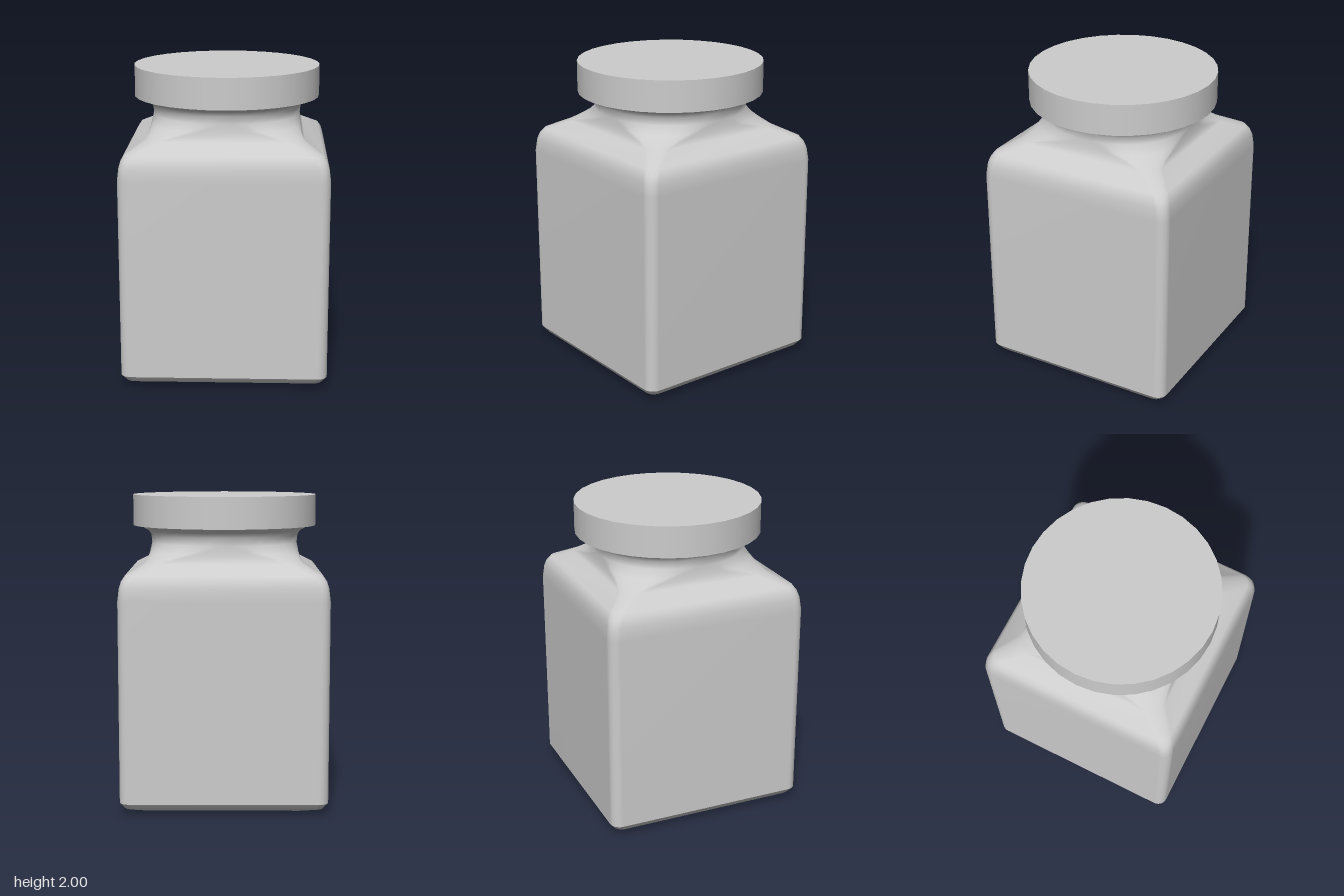
import * as THREE from 'three';

const grey = new THREE.MeshStandardMaterial({ color: 0xcccccc });
grey.name = 'light grey';

const CORNER_STEPS = 7;

// Rounded square of half width h and corner radius r at height y
function section([y, h, r]) {
  const points = [];
  for (let corner = 0; corner < 4; corner++) {
    const mid = (corner + 0.5) * Math.PI / 2;
    const cx = Math.sign(Math.cos(mid)) * (h - r);
    const cz = Math.sign(Math.sin(mid)) * (h - r);
    for (let i = 0; i <= CORNER_STEPS; i++) {
      const a = (corner + i / CORNER_STEPS) * Math.PI / 2;
      points.push(cx + r * Math.cos(a), y, cz + r * Math.sin(a));
    }
  }
  return points;
}

// Smooth skin through sections listed from bottom to top
function loft(name, sections) {
  const n = 4 * (CORNER_STEPS + 1);
  const index = [];
  for (let s = 0; s < sections.length - 1; s++) {
    for (let i = 0; i < n; i++) {
      const a = s * n + i, b = s * n + (i + 1) % n;
      index.push(a, a + n, b, b, a + n, b + n);
    }
  }
  const geometry = new THREE.BufferGeometry();
  geometry.setAttribute('position', new THREE.Float32BufferAttribute(sections.flatMap(section), 3));
  geometry.setIndex(index);
  geometry.computeVertexNormals();
  const mesh = new THREE.Mesh(geometry, grey);
  mesh.name = name;
  return mesh;
}

export function createModel() {
  const jar = new THREE.Group();
  jar.name = 'jar';

  // Chamfered underside: y, half width, corner radius
  jar.add(loft('base', [
    [0, 0.002, 0.001],
    [0.005, 0.53, 0.05],
    [0.04, 0.63, 0.06],
    [0.08, 0.66, 0.065],
  ]));

  // Square walls, sloping shoulder and round neck
  jar.add(loft('body', [
    [0.08, 0.66, 0.065],
    [1.36, 0.66, 0.065],
    [1.44, 0.65, 0.065],
    [1.48, 0.638, 0.07],
    [1.515, 0.615, 0.07],
    [1.58, 0.5, 0.1],
    [1.61, 0.485, 0.2],
    [1.64, 0.48, 0.32],
    [1.69, 0.475, 0.44],
    [1.74, 0.48, 0.445],
    [1.77, 0.5, 0.465],
    [1.785, 0.53, 0.495],
    [1.8, 0.545, 0.51],
  ]));

  // Flat round lid
  const lid = new THREE.Mesh(new THREE.CylinderGeometry(0.6, 0.6, 0.2, 32), grey);
  lid.name = 'lid';
  lid.position.y = 1.9;
  jar.add(lid);

  return jar;
}
